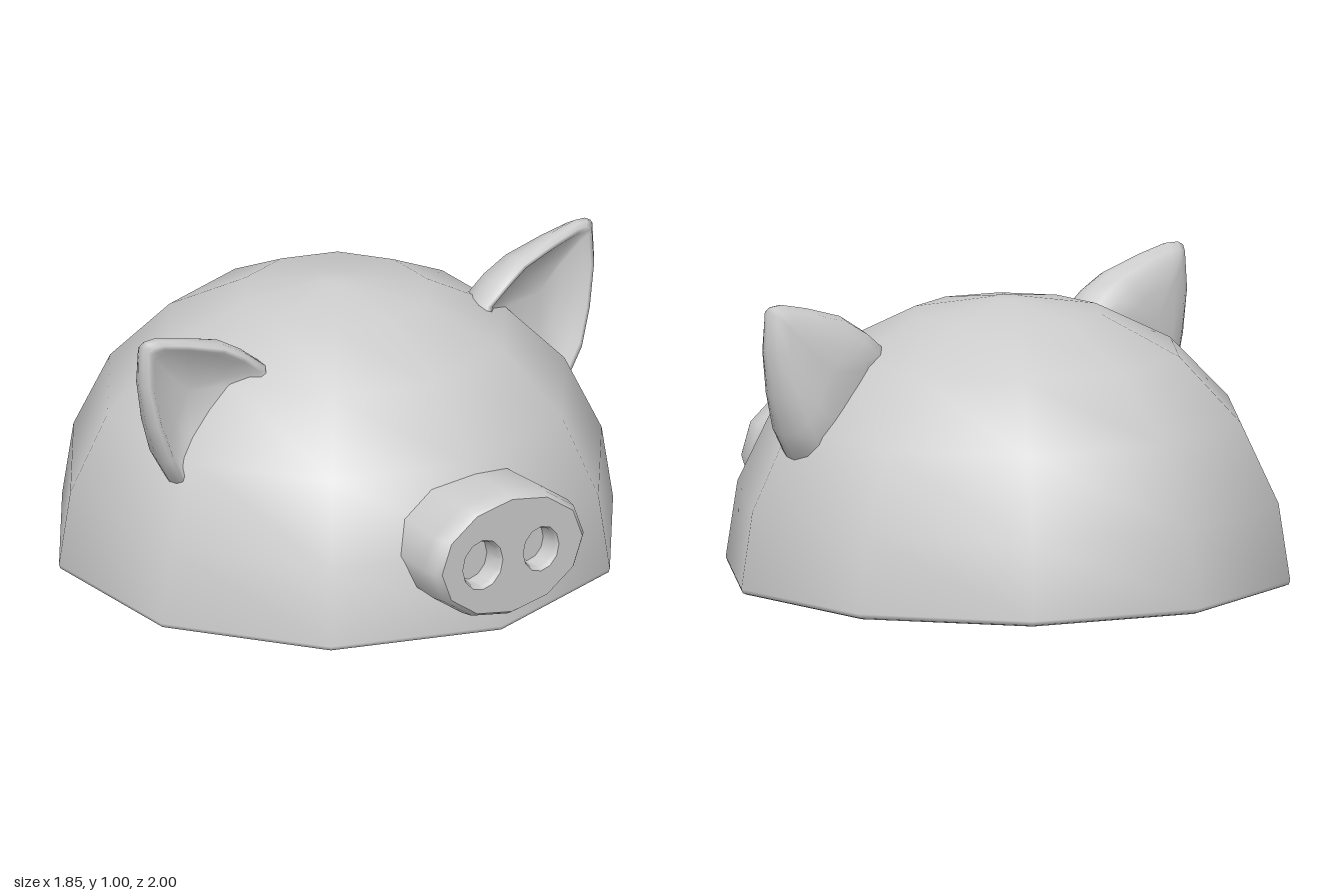
import * as THREE from 'three';
import { mergeVertices, toCreasedNormals } from 'three/addons/utils/BufferGeometryUtils.js';

const grey = new THREE.MeshStandardMaterial({ color: 0xcccccc });
const greyDouble = new THREE.MeshStandardMaterial({ color: 0xcccccc, side: THREE.DoubleSide });

function addMesh(parent, name, geometry, material = grey) {
  const mesh = new THREE.Mesh(geometry, material);
  mesh.name = name;
  parent.add(mesh);
  return mesh;
}

const lathe = (points, sides) =>
  new THREE.LatheGeometry(points.map(([r, y]) => new THREE.Vector2(r, y)), sides);

// Twelve-sided ellipse outline
function ellipsePoints(cx, cy, rx, ry, sides = 12) {
  return Array.from({ length: sides }, (_, i) => {
    const a = (i / sides) * Math.PI * 2;
    return new THREE.Vector2(cx + rx * Math.cos(a), cy + ry * Math.sin(a));
  });
}

// Ear: one outline, scaled about its centre in layers from the rounded back
// to the hollow front, thinning towards the tip; its base is sunk in the dome
function earGeometry(side) {
  const outline = [
    [0.922, 0.985], [0.9, 0.998], [0.86, 1.0], [0.75, 0.975], [0.6, 0.93], [0.51, 0.875], [0.43, 0.81],
    [0.42, 0.74], [0.52, 0.56], [0.7, 0.42], [0.79, 0.445], [0.85, 0.55], [0.895, 0.69], [0.925, 0.85],
  ];
  const layers = [
    [0, 0.028], [0.45, 0.03], [0.75, 0.045], [0.92, 0.08], [1, 0.14],
    [0.98, 0.18], [0.92, 0.207], [0.85, 0.207], [0.76, 0.18], [0.4, 0.14], [0, 0.13],
  ];
  const [cx, cy] = [0.72, 0.77];
  const n = outline.length;
  const positions = [];
  const index = [];
  layers.forEach(([s, z], r) => {
    outline.forEach(([ox, oy], i) => {
      const x = cx + s * (ox - cx);
      const y = cy + s * (oy - cy);
      const tip = THREE.MathUtils.clamp((x + y - 1.4) / 0.5, 0, 1);
      positions.push(side * x, y, 0.135 + (z - 0.135) * (1 - 0.55 * tip));
      if (r === layers.length - 1) return;
      const j = (i + 1) % n;
      const [a, b, c, d] = [r * n + i, r * n + j, (r + 1) * n + j, (r + 1) * n + i];
      if (side > 0) index.push(a, b, c, a, c, d);
      else index.push(a, c, b, a, d, c);
    });
  });
  const g = new THREE.BufferGeometry();
  g.setAttribute('position', new THREE.Float32BufferAttribute(positions, 3));
  g.setIndex(index);
  const merged = mergeVertices(g, 1e-5);
  merged.computeVertexNormals();
  return merged;
}

export function createModel() {
  const model = new THREE.Group();
  model.name = 'pigHead';

  // Ten-sided dome: inside of the rim, round its lower edge, then the outer wall up
  const dome = lathe([
    [0.848, 0.115], [0.852, 0.05], [0.865, 0.012], [0.89, 0], [0.95, 0], [0.965, 0.006], [0.97, 0.02],
    [0.93, 0.28], [0.8, 0.55], [0.59, 0.765], [0.32, 0.9], [0.05, 0.945], [0, 0.945],
  ], 10);
  addMesh(model, 'dome', dome).position.z = -0.03;

  // Flat underside recessed within the rim
  const underside = new THREE.CircleGeometry(0.848, 10, Math.PI / 2);
  underside.rotateX(Math.PI / 2);
  addMesh(model, 'underside', underside).position.set(0, 0.115, -0.03);

  // Ears
  addMesh(model, 'leftEar', earGeometry(1));
  addMesh(model, 'rightEar', earGeometry(-1));

  // Snout: oval barrel with a bevelled front edge
  const snout = new THREE.Group();
  snout.name = 'snout';
  snout.position.set(0, 0.3, 0);
  model.add(snout);
  const barrel = lathe([
    [0, 0.72], [0.97, 0.72], [1, 0.93], [0.97, 0.98], [0.91, 1],
  ], 12);
  barrel.rotateX(Math.PI / 2);
  barrel.scale(0.315, 0.225, 1);
  addMesh(snout, 'snoutBarrel', toCreasedNormals(barrel, 0.95));

  // Flat snout front with two nostril holes, each backed by a recessed cup
  const face = new THREE.Shape(ellipsePoints(0, 0, 0.315 * 0.91, 0.225 * 0.91));
  const nostrils = [
    { name: 'rightNostril', x: -0.12, rx: 0.082, ry: 0.09 },
    { name: 'leftNostril', x: 0.118, rx: 0.073, ry: 0.081 },
  ];
  for (const { name, x, rx, ry } of nostrils) {
    face.holes.push(new THREE.Path(ellipsePoints(x, -0.005, rx, ry)));
    const cup = lathe([[1, 0], [0.9, -0.015], [0.88, -0.08], [0, -0.08]], 12);
    cup.rotateX(Math.PI / 2);
    cup.scale(rx, ry, 1);
    addMesh(snout, name, toCreasedNormals(cup, 0.65), greyDouble).position.set(x, -0.005, 1);
  }
  addMesh(snout, 'snoutFront', new THREE.ShapeGeometry(face)).position.z = 1;

  return model;
}
